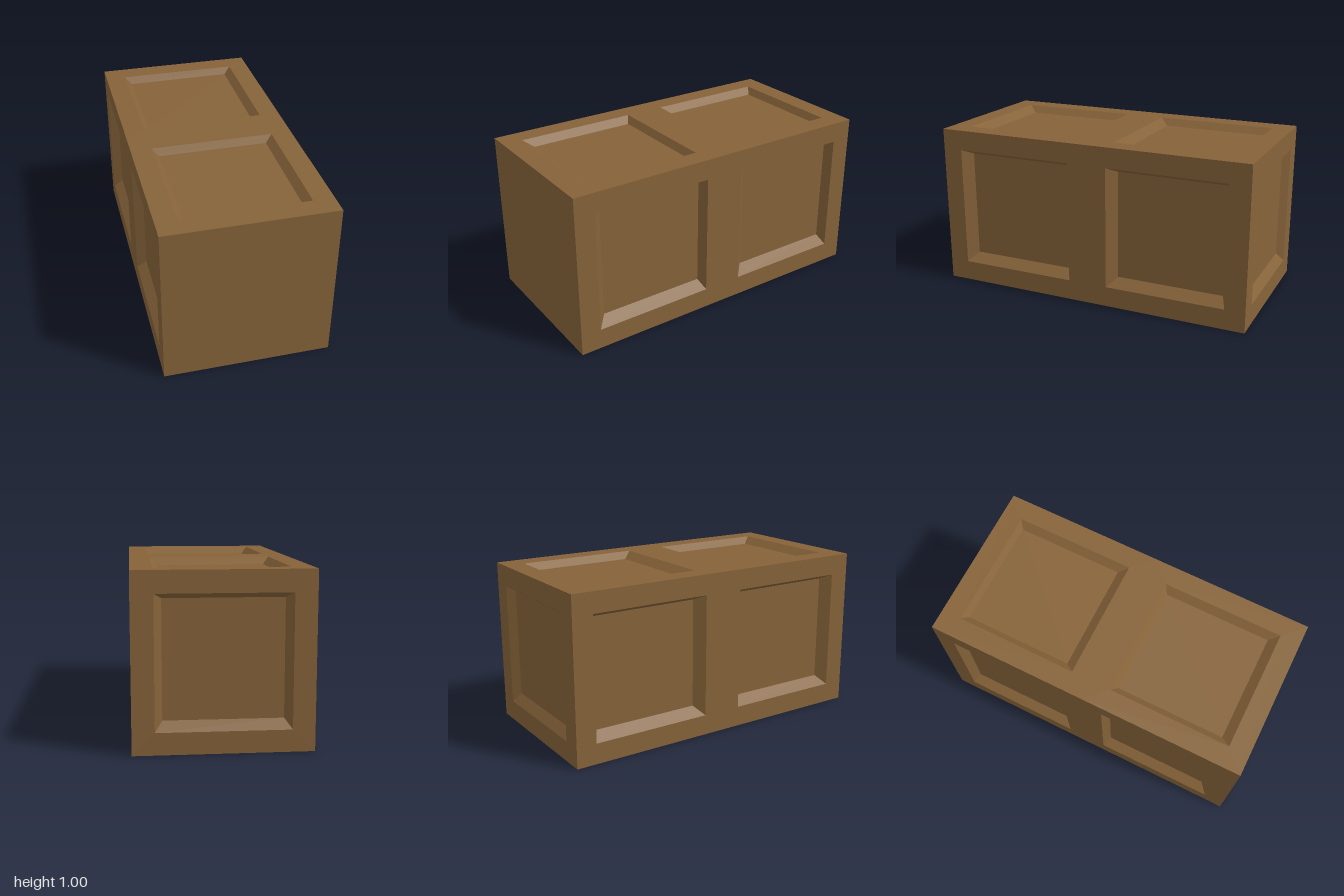
import * as THREE from 'three';

const SCALE = 0.887;        // recessed panels are the face panels shrunk about a pivot
const PANEL = 0.375;        // half size of each panel opening
const wood = new THREE.MeshStandardMaterial({ color: 0x866339, flatShading: true });

// Four corners of a square, counter-clockwise seen from along u x v
function square(centre, u, v, half) {
  return [[-1, -1], [1, -1], [1, 1], [-1, 1]].map(([a, b]) =>
    centre.clone().addScaledVector(u, a * half).addScaledVector(v, b * half));
}

function quadMesh(name, quads) {
  const points = quads.flatMap(([a, b, c, d]) => [a, b, c, a, c, d]);
  const geometry = new THREE.BufferGeometry().setFromPoints(points);
  geometry.computeVertexNormals();
  const mesh = new THREE.Mesh(geometry, wood);
  mesh.name = name;
  return mesh;
}

// Quads joining one ring of corners to the next one inside it
const bridge = (outer, inner) => outer.map((p, i) => {
  const j = (i + 1) % 4;
  return [p, outer[j], inner[j], inner[i]];
});

export function createModel() {
  const group = new THREE.Group();
  group.name = 'panelledBlock';
  const X = new THREE.Vector3(1, 0, 0);
  const Y = new THREE.Vector3(0, 1, 0);
  const Z = new THREE.Vector3(0, 0, 1);
  const nX = X.clone().negate();
  const nZ = Z.clone().negate();

  // One face of a unit cube: frame, sloped walls and sunken panel, or plain
  function addFace(name, cube, u, v, panelled) {
    const normal = u.clone().cross(v);
    const centre = cube.clone().addScaledVector(normal, 0.5);
    const edge = square(centre, u, v, 0.5);
    if (!panelled) {
      group.add(quadMesh(name, [edge]));
      return;
    }
    const pivot = cube.clone().add(new THREE.Vector3(0, 0.125, -0.125));
    const outer = square(centre, u, v, PANEL);
    const inner = outer.map(p => p.clone().sub(pivot).multiplyScalar(SCALE).add(pivot));
    const face = new THREE.Group();
    face.name = name;
    face.add(
      quadMesh('frame', bridge(edge, outer)),
      quadMesh('recessWalls', bridge(outer, inner)),
      quadMesh('sunkenPanel', [inner]));
    group.add(face);
  }

  // Two unit cubes end to end, panelled on top and both sides
  for (const [label, z] of [['front', 0.5], ['back', -0.5]]) {
    const cube = new THREE.Vector3(0, 0.5, z);
    addFace(label + 'Top', cube, X, nZ, true);
    addFace(label + 'LeftSide', cube, nZ, Y, true);
    addFace(label + 'RightSide', cube, Z, Y, true);
    addFace(label + 'Bottom', cube, X, Z, false);
    // End faces: plain at the front, panelled at the back
    if (z > 0) addFace('frontEnd', cube, X, Y, false);
    else addFace('backEnd', cube, nX, Y, true);
  }
  return group;
}
